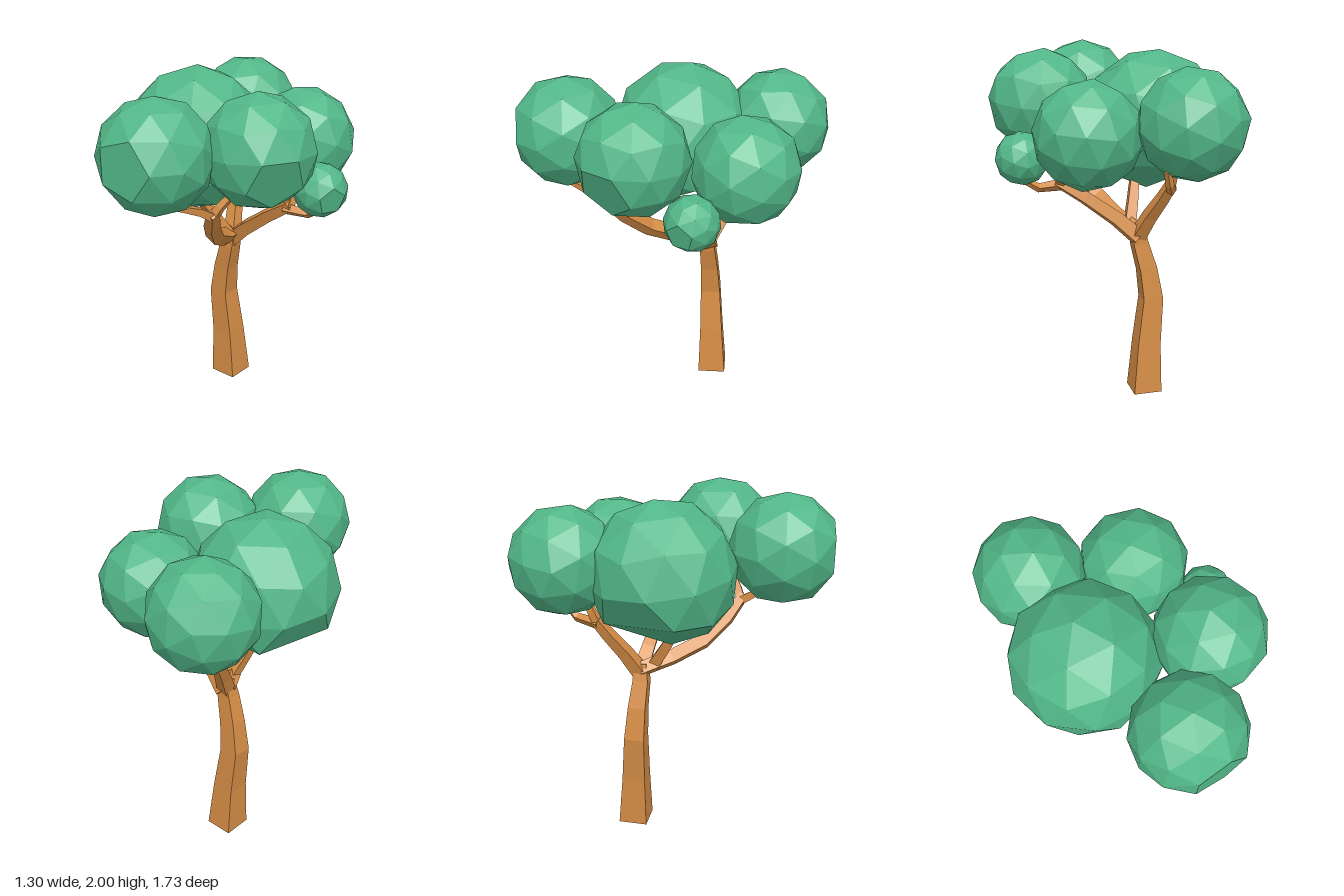
import * as THREE from 'three';

const bark = new THREE.MeshStandardMaterial({ color: 0xd48c45, flatShading: true });
const leaf = new THREE.MeshStandardMaterial({ color: 0x52b788, flatShading: true });

// Four-sided limb swept along rows of [x, y, z, radius], capped at both ends
function limb(name, rows) {
  const pts = rows.map(([x, y, z]) => new THREE.Vector3(x, y, z));
  const u = new THREE.Vector3(0.97, 0, -0.2);
  const rings = pts.map((p, i) => {
    const t = new THREE.Vector3();
    if (p.y === 0) t.set(0, 1, 0); // keeps the foot flat on the ground
    else {
      if (i > 0) t.add(p.clone().sub(pts[i - 1]).normalize());
      if (i < pts.length - 1) t.add(pts[i + 1].clone().sub(p).normalize());
      t.normalize();
    }
    u.addScaledVector(t, -u.dot(t)).normalize();
    const v = t.clone().cross(u);
    return [0, 1, 2, 3].map((k) => {
      const a = (k * Math.PI) / 2;
      return p.clone().addScaledVector(u, rows[i][3] * Math.cos(a)).addScaledVector(v, rows[i][3] * Math.sin(a));
    });
  });
  const tris = [];
  const quad = (a, b, c, d) => tris.push(a, b, c, a, c, d);
  for (let i = 0; i < rings.length - 1; i++) {
    for (let k = 0; k < 4; k++) {
      const n = (k + 1) % 4;
      quad(rings[i][k], rings[i][n], rings[i + 1][n], rings[i + 1][k]);
    }
  }
  quad(...[...rings[0]].reverse());
  quad(...rings[rings.length - 1]);
  const geo = new THREE.BufferGeometry().setFromPoints(tris);
  geo.computeVertexNormals();
  const mesh = new THREE.Mesh(geo, bark);
  mesh.name = name;
  return mesh;
}

// Rules choosing which corners of a ball are pressed in to make flat areas
const cap = (p) => p.y < -0.99; // one flat five-sided face
const lowerBack = (p) => p.y > -0.9 && p.y < -0.5 && p.z < -0.05; // large flat triangles

// Faceted ball of leaves, pole downwards; it is spun about the pole, the pole
// is tilted forward, then turned by yaw
function foliage(name, [x, y, z], radius, pressed, tilt, yaw, spin) {
  const geo = new THREE.IcosahedronGeometry(1, 1);
  geo.rotateZ(-Math.atan(2) / 2).rotateX(Math.PI).rotateY(spin - Math.PI / 2);
  const pos = geo.attributes.position;
  const p = new THREE.Vector3();
  for (let i = 0; i < pos.count; i++) {
    p.fromBufferAttribute(pos, i);
    p.multiplyScalar(radius * (pressed(p) ? 0.851 : 1));
    pos.setXYZ(i, p.x, p.y, p.z);
  }
  geo.computeVertexNormals();
  const mesh = new THREE.Mesh(geo, leaf);
  mesh.position.set(x, y, z);
  mesh.rotation.set(-tilt, yaw, 0, 'YXZ');
  mesh.name = name;
  return mesh;
}

export function createModel() {
  const tree = new THREE.Group();
  tree.name = 'tree';

  const wood = new THREE.Group();
  wood.name = 'wood';
  wood.add(
    limb('trunk', [
      [-0.055, 0, -0.205, 0.117], [-0.07, 0.3, -0.206, 0.095], [-0.098, 0.57, -0.213, 0.082],
      [-0.08, 0.75, -0.192, 0.071], [-0.052, 0.9, -0.16, 0.062], [-0.035, 1.0, -0.155, 0.05],
    ]),
    // Limb towards the model's left
    limb('leftBranch', [[-0.035, 0.94, -0.165, 0.058], [0.055, 1.05, -0.08, 0.052], [0.195, 1.185, 0.04, 0.045], [0.315, 1.285, 0.14, 0.038]]),
    limb('leftOuterTwig', [[0.28, 1.26, 0.125, 0.034], [0.41, 1.255, 0.18, 0.026], [0.46, 1.29, 0.22, 0.02], [0.48, 1.4, 0.24, 0.015]]),
    limb('leftInnerTwig', [[0.3, 1.26, 0.14, 0.034], [0.32, 1.32, 0.07, 0.028], [0.34, 1.36, -0.04, 0.024], [0.35, 1.44, -0.1, 0.018]]),
    // Limb towards the back
    limb('backBranch', [[-0.04, 0.94, -0.155, 0.055], [-0.035, 1.08, -0.25, 0.047], [-0.03, 1.2, -0.345, 0.041], [-0.02, 1.29, -0.41, 0.036]]),
    limb('backUpperTwig', [[-0.025, 1.26, -0.395, 0.034], [-0.01, 1.34, -0.43, 0.028], [0.03, 1.46, -0.47, 0.02]]),
    limb('backSideTwig', [[-0.03, 1.27, -0.4, 0.032], [0.08, 1.285, -0.49, 0.027], [0.13, 1.33, -0.52, 0.024], [0.17, 1.43, -0.53, 0.018]]),
    // Long curved limb towards the front
    limb('frontBranch', [
      [-0.045, 0.965, -0.17, 0.05], [-0.07, 1.025, 0.02, 0.052], [-0.1, 1.11, 0.2, 0.052],
      [-0.095, 1.23, 0.35, 0.046], [-0.075, 1.35, 0.46, 0.036],
    ]),
    limb('frontRightTwig', [[-0.08, 1.32, 0.44, 0.034], [-0.14, 1.375, 0.5, 0.028], [-0.26, 1.44, 0.61, 0.018]]),
    limb('frontLeftTwig', [[-0.08, 1.32, 0.44, 0.034], [-0.04, 1.38, 0.44, 0.028], [0.04, 1.47, 0.43, 0.02]]),
    // Short limb under the largest crown
    limb('rightBranch', [[-0.06, 1.0, -0.08, 0.045], [-0.13, 1.12, -0.04, 0.04], [-0.21, 1.27, 0.01, 0.032], [-0.24, 1.36, 0.02, 0.025]]),
  );

  const crown = new THREE.Group();
  crown.name = 'crown';
  crown.add(
    foliage('largeCrown', [-0.235, 1.583, -0.1], 0.408, lowerBack, 0.12, -0.1, Math.PI + 0.15),
    foliage('frontRightCrown', [-0.347, 1.69, 0.56], 0.306, cap, 1.57, -0.47, Math.PI / 2),
    foliage('frontLeftCrown', [0.157, 1.685, 0.41], 0.304, cap, 1.19, 0.44, Math.PI),
    foliage('leftCrown', [0.36, 1.58, -0.148], 0.298, cap, 1.4, -1.4, 0.3),
    foliage('backCrown', [0.012, 1.642, -0.572], 0.302, cap, 1.4, 0, 0.3),
    foliage('smallCrown', [0.473, 1.423, 0.243], 0.15, cap, 1.37, 0.53, 0),
  );

  tree.add(wood, crown);
  return tree;
}
